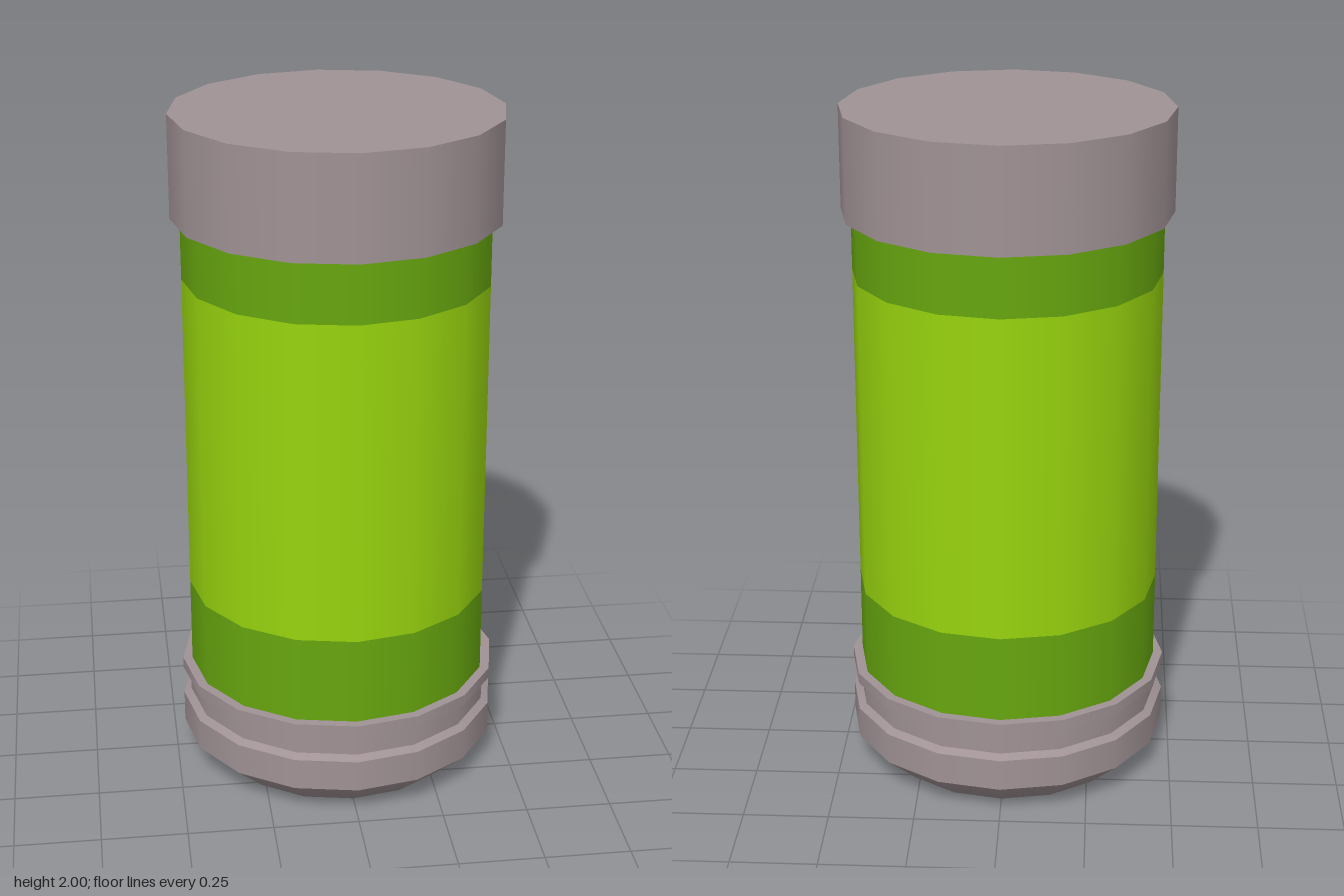
import * as THREE from 'three';
import { mergeGeometries } from 'three/addons/utils/BufferGeometryUtils.js';

const SIDES = 16;
const mat = (name, color) => new THREE.MeshStandardMaterial({ name, color });

// Lathes each profile run separately: smooth inside a run, sharp between runs
function turned(name, material, runs) {
  const parts = runs.map(run =>
    new THREE.LatheGeometry(run.map(([r, y]) => new THREE.Vector2(r, y)), SIDES));
  const mesh = new THREE.Mesh(mergeGeometries(parts), material);
  mesh.name = name;
  return mesh;
}

// Splits a profile into one sharp run per segment
const sharp = pts => pts.slice(1).map((p, i) => [pts[i], p]);

export function createModel() {
  const metal = mat('warm grey metal', 0xa09295);
  const dark = mat('dark green', 0x67a60f);
  const bright = mat('bright green', 0x98d40e);
  const R = 0.475, BODY = 0.447;

  const model = new THREE.Group();
  model.name = 'canister';
  model.add(
    // Base: softly shaded chamfered underside, then a grooved collar
    turned('base', metal, [
      [[0, 0], [0.375, 0], [R, 0.09]],
      ...sharp([[R, 0.09], [R, 0.185], [0.453, 0.198], [0.453, 0.265],
        [R, 0.272], [R, 0.305], [BODY, 0.305]]),
    ]),
    // Body: bright window between two dark bands
    turned('lowerBand', dark, [[[BODY, 0.305], [BODY, 0.565]]]),
    turned('window', bright, [[[BODY, 0.565], [BODY, 1.52]]]),
    turned('upperBand', dark, [[[BODY, 1.52], [BODY, 1.7]]]),
    // Cap
    turned('cap', metal, sharp([[BODY, 1.7], [R, 1.7], [R, 2], [0, 2]])),
  );
  return model;
}
